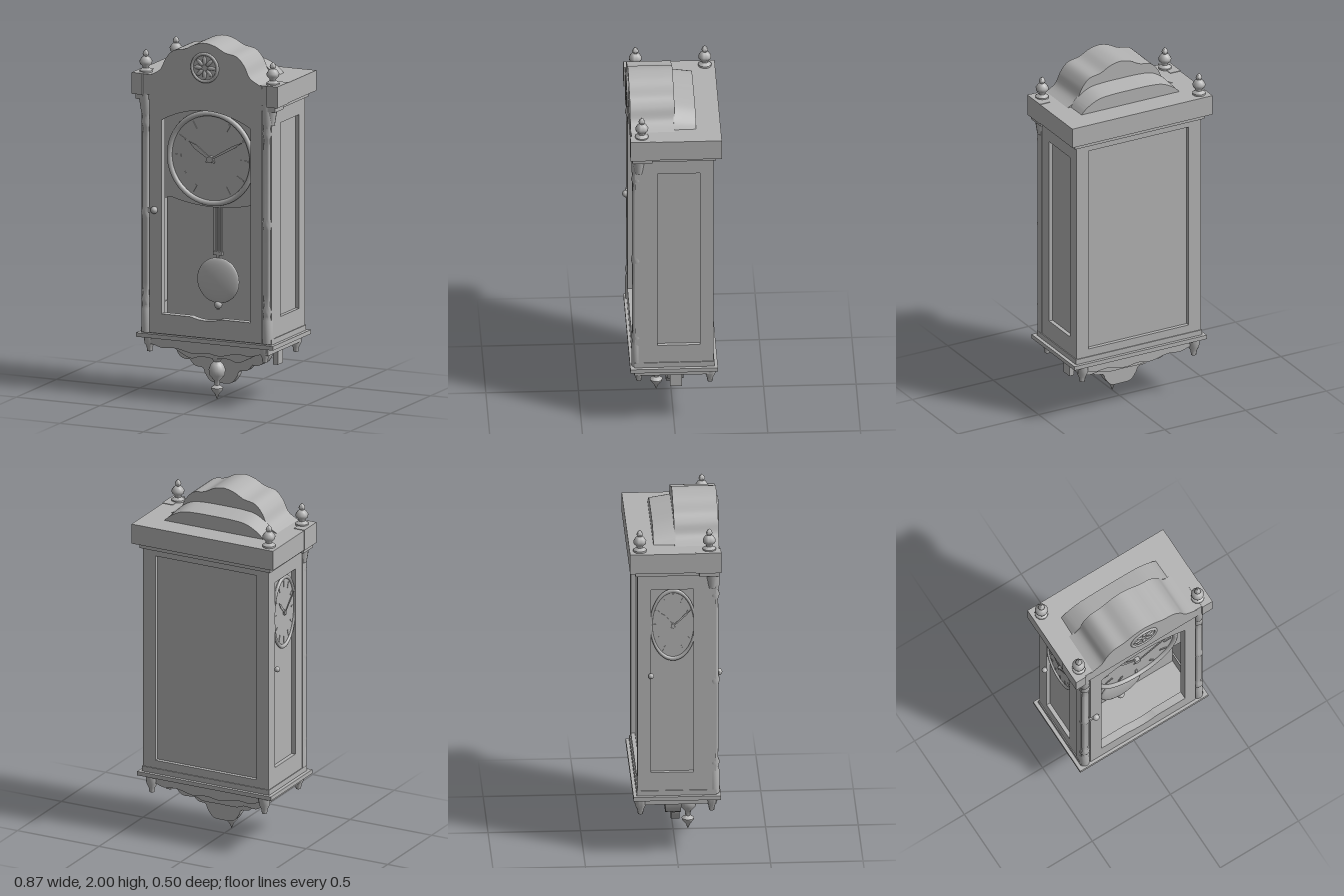
import * as THREE from 'three';
import { toCreasedNormals } from 'three/addons/utils/BufferGeometryUtils.js';

const wood = new THREE.MeshStandardMaterial({ color: 0xb2b2b2, side: THREE.DoubleSide });
wood.name = 'grey';

export function createModel() {
  const clock = new THREE.Group();
  clock.name = 'wallClock';

  const add = (name, geo, x = 0, y = 0, z = 0, parent = clock) => {
    const m = new THREE.Mesh(geo, wood);
    m.name = name;
    m.position.set(x, y, z);
    parent.add(m);
    return m;
  };
  // box given by its limits
  const box = (name, x0, x1, y0, y1, z0, z1) =>
    add(name, new THREE.BoxGeometry(x1 - x0, y1 - y0, z1 - z0), (x0 + x1) / 2, (y0 + y1) / 2, (z0 + z1) / 2);
  const rect = (x0, x1, y0, y1) =>
    new THREE.Shape([[x0, y0], [x1, y0], [x1, y1], [x0, y1]].map(p => new THREE.Vector2(...p)));
  const extrude = (shape, depth) => toCreasedNormals(
    new THREE.ExtrudeGeometry(shape, { depth, bevelEnabled: false, curveSegments: 20 }), 0.6);
  const lathe = (pts, n = 20) => toCreasedNormals(
    new THREE.LatheGeometry(pts.map(p => new THREE.Vector2(...p)), n), 0.9);
  // symmetric outline from its right half, listed from the centre outward
  const mirrored = (half, closeY) => {
    const right = half.map(p => new THREE.Vector2(...p));
    const curve = new THREE.SplineCurve([
      ...right.slice(1).reverse().map(p => new THREE.Vector2(-p.x, p.y)), ...right]).getPoints(56);
    const end = half[half.length - 1][0];
    return new THREE.Shape([...curve, new THREE.Vector2(end, closeY), new THREE.Vector2(-end, closeY)]);
  };

  // case sides with recessed panels
  for (const s of [1, -1]) {
    const side = rect(-0.21, 0.2, 0.36, 1.68);
    side.holes.push(rect(-0.14, 0.09, 0.5, 1.57));
    const frame = add(s > 0 ? 'rightSideFrame' : 'leftSideFrame', extrude(side, 0.04), s > 0 ? 0.385 : -0.345);
    frame.rotation.y = -Math.PI / 2;
    box('sidePanel', s * 0.358 - 0.005, s * 0.358 + 0.005, 0.49, 1.58, -0.15, 0.1);
  }

  // back frame, recessed board and inner board behind the pendulum
  const back = rect(-0.385, 0.385, 0.36, 1.68);
  back.holes.push(rect(-0.31, 0.31, 0.44, 1.62));
  add('backFrame', extrude(back, 0.03), 0, 0, -0.212);
  box('backBoard', -0.345, 0.345, 0.4, 1.66, -0.19, -0.18);
  box('innerBoard', -0.345, 0.345, 0.4, 1.66, -0.03, -0.02);

  // front door with an arched opening
  const door = rect(-0.335, 0.335, 0.37, 1.69);
  const opening = new THREE.Path();
  opening.moveTo(-0.265, 0.48);
  opening.lineTo(-0.09, 0.48);
  opening.quadraticCurveTo(0, 0.45, 0.09, 0.48);
  opening.lineTo(0.27, 0.48);
  opening.lineTo(0.27, 1.55);
  opening.quadraticCurveTo(0, 1.7, -0.265, 1.55);
  opening.closePath();
  door.holes.push(opening);
  add('door', extrude(door, 0.045), 0, 0, 0.178);

  // corner posts with slim turned columns
  const columnProfile = [[0, 0.37], [0.028, 0.37], [0.028, 0.5], [0.022, 0.52], [0.03, 0.55], [0.02, 0.58],
    [0.024, 0.64], [0.024, 1.0], [0.03, 1.03], [0.024, 1.06], [0.024, 1.44], [0.02, 1.5], [0.03, 1.53],
    [0.022, 1.56], [0.028, 1.58], [0.028, 1.69], [0, 1.69]];
  for (const s of [1, -1]) {
    box('cornerPost', s * 0.361 - 0.027, s * 0.361 + 0.027, 0.37, 1.68, 0.165, 0.212);
    add('column', lathe(columnProfile, 16), s * 0.362, 0, 0.203);
    add('capitalBracket', new THREE.CylinderGeometry(0.038, 0.022, 0.1, 12), s * 0.375, 1.625, 0.192);
  }

  // dial plate with an arched lower edge
  const plate = new THREE.Shape();
  plate.moveTo(-0.34, 1.09);
  plate.lineTo(-0.25, 1.11);
  plate.quadraticCurveTo(0, 1.04, 0.25, 1.11);
  plate.lineTo(0.34, 1.09);
  plate.lineTo(0.34, 1.66);
  plate.lineTo(-0.34, 1.66);
  add('dialPlate', extrude(plate, 0.012), 0, 0, 0.118);

  // a clock face: dial, bezel, hour markers and hands, built around its own centre
  const disc = (name, r, depth, x, y, z, parent) => {
    const m = add(name, toCreasedNormals(new THREE.CylinderGeometry(r, r, depth, 40), 0.6), x, y, z, parent);
    m.rotation.x = Math.PI / 2;
  };
  const clockFace = name => {
    const face = new THREE.Group();
    face.name = name;
    clock.add(face);
    disc('dial', 0.25, 0.03, 0, 0, -0.01, face);
    add('bezel', new THREE.TorusGeometry(0.248, 0.015, 10, 56), 0, 0, 0.008, face);
    for (let i = 0; i < 12; i++) {
      const a = i * Math.PI / 6;
      const m = add('hourMarker', new THREE.BoxGeometry(0.012, 0.045, 0.005),
        0.2 * Math.sin(a), 0.2 * Math.cos(a), 0.007, face);
      m.rotation.z = -a;
    }
    const hand = (handName, dx, dy, w, z) => {
      const len = Math.hypot(dx, dy);
      const g = extrude(new THREE.Shape([[-w / 2, -0.03], [w / 2, -0.03], [w, len * 0.7], [0, len], [-w, len * 0.7]]
        .map(p => new THREE.Vector2(...p))), 0.005);
      add(handName, g, 0, -0.005, z, face).rotation.z = Math.atan2(-dx, dy);
    };
    hand('hourHand', -0.13, 0.09, 0.012, 0.012);
    hand('minuteHand', 0.2, 0.115, 0.008, 0.02);
    disc('handHub', 0.018, 0.028, 0, -0.005, 0.014, face);
    return face;
  };
  clockFace('frontFace').position.set(0, 1.35, 0.148);

  // narrow secondary face on the left side
  const sideFace = clockFace('leftSideFace');
  sideFace.position.set(-0.37, 1.36, -0.02);
  sideFace.rotation.y = -Math.PI / 2;
  sideFace.scale.set(0.48, 0.8, 0.6);

  // pendulum
  for (const x of [-0.037, -0.018, 0.001]) box('pendulumRod', x - 0.005, x + 0.005, 0.8, 1.1, 0.022, 0.034);
  box('pendulumClasp', -0.045, 0.01, 0.79, 0.81, 0.019, 0.037);
  box('pendulumStem', -0.026, -0.01, 0.49, 0.8, 0.022, 0.032);
  add('pendulumBob', new THREE.SphereGeometry(0.126, 32, 16), -0.018, 0.65, 0.027).scale.z = 0.2;
  add('pendulumTip', new THREE.SphereGeometry(0.022, 12, 8), -0.018, 0.515, 0.027);

  // door knob, and a knob on the left side
  add('doorKnob', new THREE.SphereGeometry(0.02, 12, 8), -0.305, 1.05, 0.23);
  box('keyPlate', -0.345, -0.3, 1.035, 1.06, 0.22, 0.23);
  add('sideKnob', new THREE.SphereGeometry(0.016, 10, 8), -0.398, 1.07, -0.14);

  // cornice with projecting front corner blocks
  box('corniceBed', -0.4, 0.4, 1.655, 1.7, -0.225, 0.222);
  box('cornice', -0.434, 0.434, 1.685, 1.797, -0.255, 0.23);
  for (const s of [1, -1]) {
    box('corniceBlock', s * 0.404 - 0.032, s * 0.404 + 0.032, 1.682, 1.8, 0.1, 0.238);
    box('corniceBlockFoot', s * 0.392 - 0.026, s * 0.392 + 0.026, 1.655, 1.69, 0.12, 0.228);
  }

  // arched pediment in two steps, the rear one sloping down to the back
  const crest = mirrored([[0, 2], [0.06, 1.988], [0.12, 1.958], [0.19, 1.942], [0.235, 1.895], [0.27, 1.83], [0.34, 1.79]], 1.78);
  add('pediment', extrude(crest, 0.24), 0, 0, -0.008);
  const rear = extrude(mirrored([[0, 1.9], [0.12, 1.898], [0.2, 1.885], [0.27, 1.84], [0.31, 1.79]], 1.78), 0.12);
  const pos = rear.attributes.position;
  for (let i = 0; i < pos.count; i++) {
    if (pos.getZ(i) < 0.01) pos.setY(i, 1.78 + (pos.getY(i) - 1.78) * 0.8);
  }
  add('rearPediment', toCreasedNormals(rear, 0.6), 0, 0, -0.122);

  // rosette
  disc('rosette', 0.078, 0.012, 0, 1.865, 0.23);
  add('rosetteRim', new THREE.TorusGeometry(0.076, 0.009, 8, 32), 0, 1.865, 0.234);
  for (let i = 0; i < 8; i++) {
    const a = i * Math.PI / 4;
    const petal = add('rosettePetal', new THREE.SphereGeometry(0.026, 10, 6), 0.04 * Math.cos(a), 1.865 + 0.04 * Math.sin(a), 0.235);
    petal.scale.set(1, 0.45, 0.3);
    petal.rotation.z = a;
  }

  // three top finials
  const finial = [[0, 0], [0.036, 0], [0.036, 0.015], [0.018, 0.028], [0.018, 0.036], [0.034, 0.052], [0.035, 0.066],
    [0.024, 0.084], [0.012, 0.092], [0.018, 0.104], [0.012, 0.118], [0, 0.13]];
  for (const [x, z] of [[-0.38, -0.2], [-0.38, 0.175], [0.38, 0.175]]) add('topFinial', lathe(finial, 14), x, 1.792, z);

  // base moulding and stepped carved corbel
  box('baseMoulding', -0.41, 0.41, 0.343, 0.366, -0.235, 0.238);
  box('baseStep', -0.39, 0.39, 0.362, 0.395, -0.217, 0.215);
  const apron = mirrored([[0, 0.285], [0.08, 0.275], [0.18, 0.295], [0.26, 0.29], [0.32, 0.305], [0.37, 0.305]], 0.346);
  add('apron', extrude(apron, 0.42), 0, 0, -0.205);
  const skirt = mirrored([[0, 0.235], [0.08, 0.24], [0.14, 0.225], [0.2, 0.25], [0.25, 0.28], [0.3, 0.32]], 0.345);
  add('skirt', extrude(skirt, 0.17), 0, 0, -0.055);
  const corbelTop = mirrored([[0, 0.19], [0.1, 0.19], [0.15, 0.205], [0.22, 0.2], [0.26, 0.23], [0.28, 0.3]], 0.34);
  add('upperCorbel', extrude(corbelTop, 0.085), 0, 0, -0.055);
  const corbelLow = mirrored([[0, 0.085], [0.06, 0.09], [0.095, 0.13], [0.11, 0.16], [0.16, 0.17], [0.2, 0.22]], 0.3);
  add('lowerCorbel', extrude(corbelLow, 0.045), 0, 0, -0.015);
  box('sideBracket', 0.305, 0.335, 0.215, 0.32, -0.045, 0.02);

  // hanging drops
  const drop = [[0, 0], [0.012, 0.03], [0.032, 0.055], [0.034, 0.065], [0.014, 0.08], [0.016, 0.105], [0.042, 0.135],
    [0.046, 0.165], [0.034, 0.195], [0.018, 0.21], [0.036, 0.235], [0.036, 0.255], [0.05, 0.29], [0, 0.29]];
  add('centreDrop', lathe(drop, 20), 0, 0.005, 0.08);
  const foot = [[0, 0], [0.014, 0.004], [0.018, 0.03], [0.03, 0.055], [0.034, 0.1], [0, 0.1]];
  for (const [x, y, z] of [[-0.35, 0.258, 0.19], [0.34, 0.258, 0.19], [-0.35, 0.244, -0.195], [0.34, 0.244, -0.195]]) {
    add('cornerDrop', lathe(foot, 14), x, y, z);
  }

  return clock;
}
